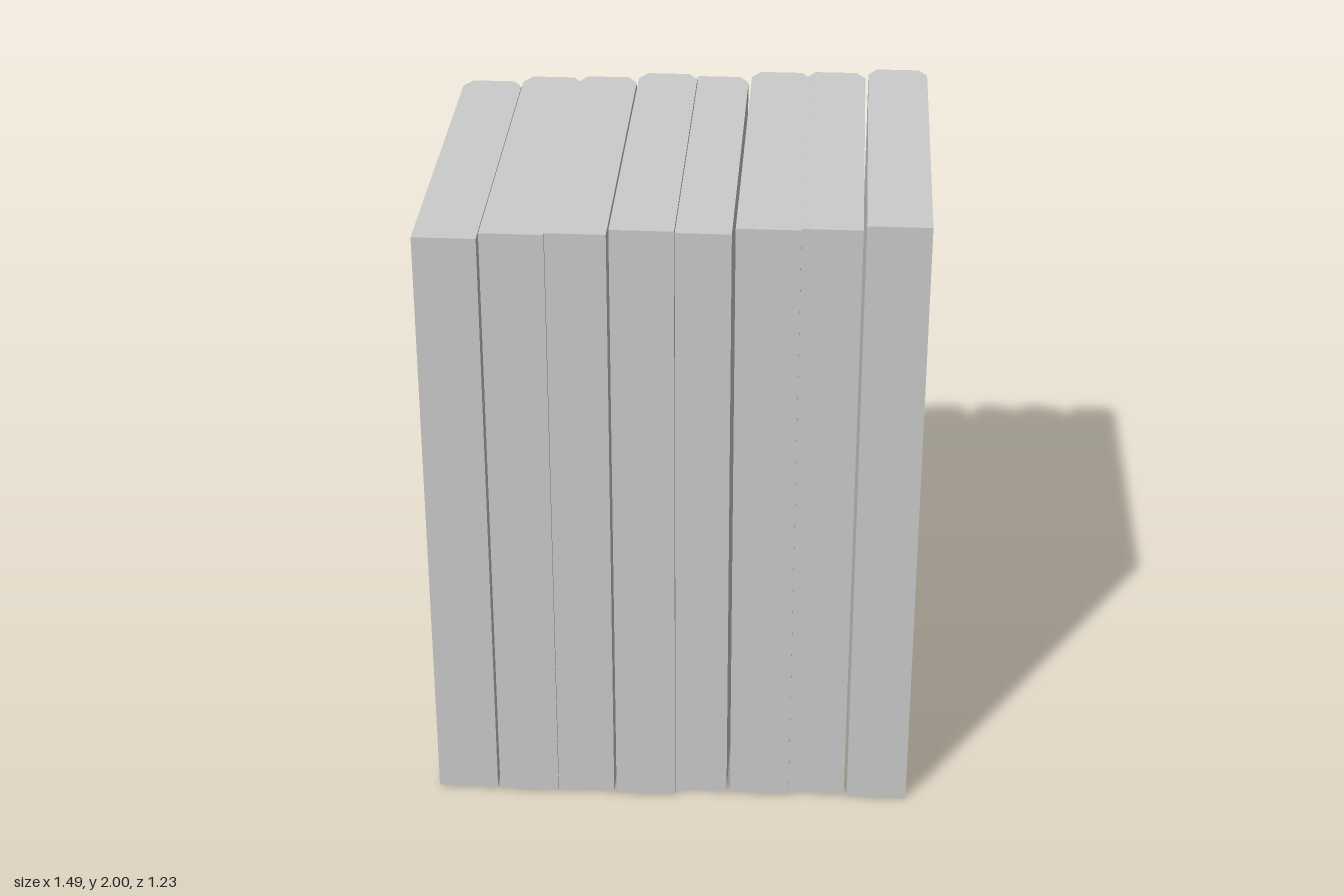
import * as THREE from 'three';

const WIDTH = 0.187, DEPTH = 1.19;
const CHAMFER_X = 0.027, CHAMFER_Z = 0.045;

// Each slab: centre x, bottom y, top y, back z
const SLABS = [
  [-0.651, 0.01, 1.942, -0.582],
  [-0.456, 0.01, 1.962, -0.578],
  [-0.279, 0.004, 1.962, -0.59],
  [-0.084, 0.003, 1.98, -0.585],
  [0.079, 0.002, 1.963, -0.612],
  [0.277, 0.008, 1.985, -0.605],
  [0.453, 0.009, 1.984, -0.617],
  [0.649, 0.0, 2.0, -0.612],
];

// Footprint with a square front and chamfered back corners, extruded upward
function slabGeometry(height) {
  const w = WIDTH / 2;
  const shape = new THREE.Shape([
    new THREE.Vector2(-w, -DEPTH),
    new THREE.Vector2(w, -DEPTH),
    new THREE.Vector2(w, -CHAMFER_Z),
    new THREE.Vector2(w - CHAMFER_X, 0),
    new THREE.Vector2(-w + CHAMFER_X, 0),
    new THREE.Vector2(-w, -CHAMFER_Z),
  ]);
  return new THREE.ExtrudeGeometry(shape, { depth: height, bevelEnabled: false }).rotateX(-Math.PI / 2);
}

export function createModel() {
  const group = new THREE.Group();
  group.name = 'bookRow';
  const material = new THREE.MeshStandardMaterial({ color: 0xcccccc, flatShading: true });

  // Row of upright books, slightly staggered in height and depth
  SLABS.forEach(([x, bottom, top, back], i) => {
    const book = new THREE.Mesh(slabGeometry(top - bottom), material);
    book.name = `book${i + 1}`;
    book.position.set(x, bottom, back);
    group.add(book);
  });
  return group;
}
